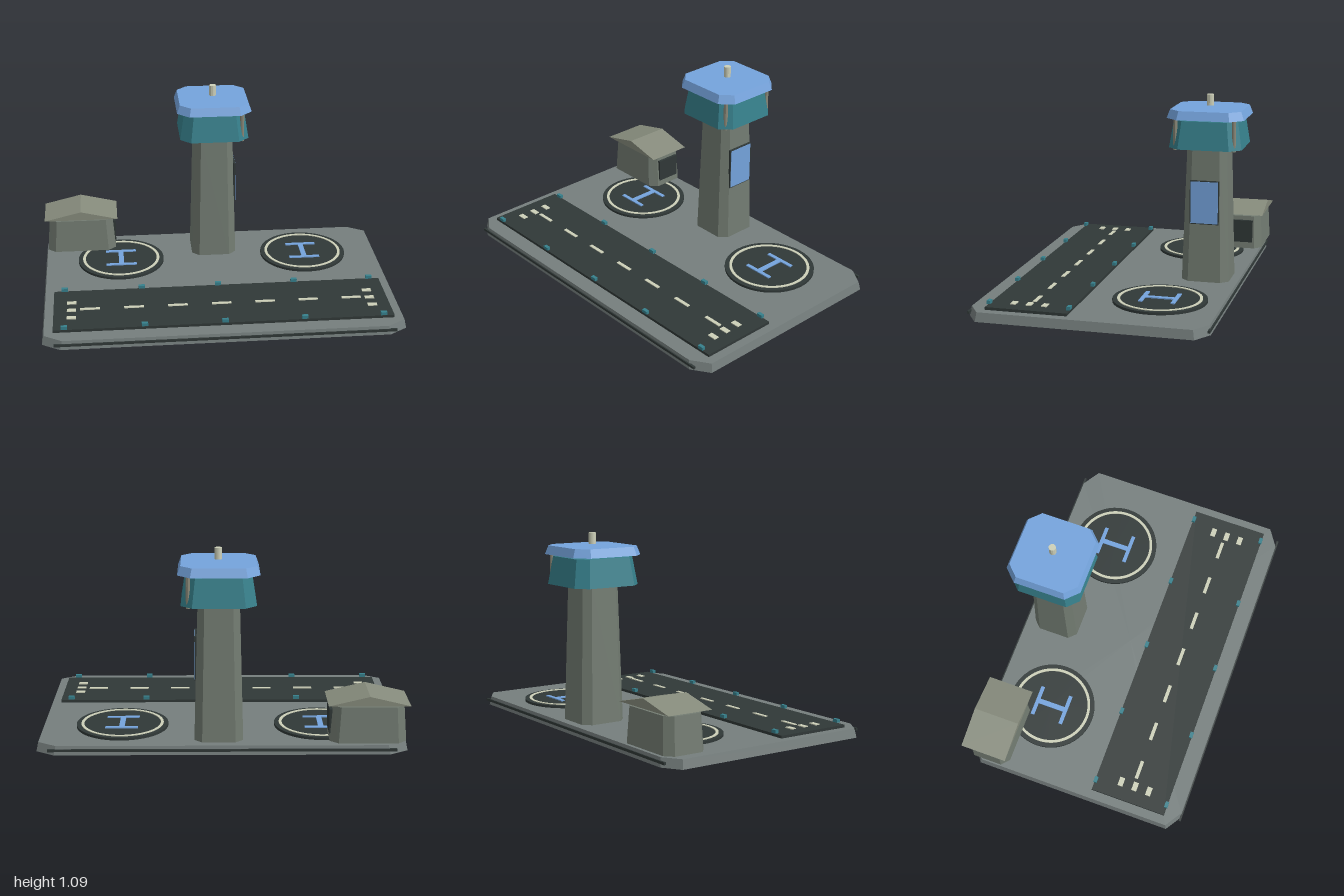
import * as THREE from 'three';

const mat = (color, flat = true) => new THREE.MeshStandardMaterial({ color, flatShading: flat });
const M = {
  slab: mat(0x757e7d), asphalt: mat(0x303837), cream: mat(0xcccfb8), blue: mat(0x74a3dc),
  teal: mat(0x36808c), wall: mat(0x737c72), post: mat(0x8a8878), roof: mat(0x868b7c),
};

function add(parent, name, geo, material, x = 0, y = 0, z = 0) {
  const mesh = new THREE.Mesh(geo, material);
  mesh.name = name;
  mesh.position.set(x, y, z);
  parent.add(mesh);
  return mesh;
}

function box(parent, name, material, w, h, d, x, y, z) {
  return add(parent, name, new THREE.BoxGeometry(w, h, d), material, x, y, z);
}

// Rectangle with cut corners, lofted through levels of [y, halfX, halfZ, cutX, cutZ]
function loft(levels) {
  const rings = levels.map(([y, hx, hz, cx, cz]) => [
    [hx, hz - cz], [hx - cx, hz], [cx - hx, hz], [-hx, hz - cz],
    [-hx, cz - hz], [cx - hx, -hz], [hx - cx, -hz], [hx, cz - hz],
  ].map(([x, z]) => new THREE.Vector3(x, y, z)));
  const pts = [];
  const bottom = rings[0], top = rings[rings.length - 1];
  for (let i = 0; i < 8; i++) {
    const j = (i + 1) % 8;
    for (let k = 0; k + 1 < rings.length; k++) {
      const lo = rings[k], hi = rings[k + 1];
      pts.push(lo[i], hi[j], lo[j], lo[i], hi[i], hi[j]);
    }
    pts.push(new THREE.Vector3(0, bottom[0].y, 0), bottom[i], bottom[j]);
    pts.push(new THREE.Vector3(0, top[0].y, 0), top[j], top[i]);
  }
  const geo = new THREE.BufferGeometry().setFromPoints(pts);
  geo.computeVertexNormals();
  return geo;
}

function group(parent, name, x = 0, y = 0, z = 0) {
  const g = new THREE.Group();
  g.name = name;
  g.position.set(x, y, z);
  parent.add(g);
  return g;
}

function buildBase(root) {
  const g = group(root, 'base', 0, 0, 0.01);
  add(g, 'slab', loft([[0, 1, 0.645, 0.1, 0.065], [0.05, 0.99, 0.637, 0.1, 0.065]]), M.slab);
  for (const s of [1, -1]) box(g, 'edgeStrip', M.asphalt, 1.87, 0.014, 0.012, 0, 0.026, s * 0.641);
}

function buildRunway(root) {
  const g = group(root, 'runway', 0, 0, 0.333);
  box(g, 'runwaySurface', M.asphalt, 1.88, 0.015, 0.445, 0, 0.0575, 0);
  // Centre line
  for (let i = -3; i <= 3; i++) box(g, 'centreDash', M.cream, 0.11, 0.005, 0.02, i * 0.246, 0.067, 0);
  for (const s of [-1, 1]) {
    // Threshold marks at each end
    for (let i = -1; i <= 1; i++) box(g, 'thresholdMark', M.cream, 0.052, 0.005, 0.03, s * 0.84, 0.068, 0.01 + i * 0.085);
    // Edge lights along each side
    for (let i = -2; i <= 2; i++) box(g, 'runwayLight', M.teal, 0.035, 0.018, 0.02, i * 0.44, 0.078, s * 0.218);
  }
}

function buildHelipad(root, x) {
  const g = group(root, 'helipad', x, 0, -0.29);
  add(g, 'padDisc', new THREE.CylinderGeometry(0.255, 0.255, 0.014, 48), mat(0x303837, false), 0, 0.057, 0);
  const ring = new THREE.Shape().absarc(0, 0, 0.229, 0, Math.PI * 2);
  ring.holes.push(new THREE.Path().absarc(0, 0, 0.213, 0, Math.PI * 2));
  const ringGeo = new THREE.ExtrudeGeometry(ring, { depth: 0.005, bevelEnabled: false, curveSegments: 48 });
  add(g, 'padRing', ringGeo.rotateX(-Math.PI / 2), M.cream, 0, 0.063, 0);
  // Landing mark
  box(g, 'markStem', M.blue, 0.03, 0.006, 0.154, 0, 0.067, 0);
  for (const s of [-1, 1]) box(g, 'markBar', M.blue, 0.18, 0.006, 0.022, 0, 0.067, s * 0.088);
}

function buildTower(root) {
  const g = group(root, 'controlTower', 0.018, 0, -0.444);
  add(g, 'shaft', loft([[0.05, 0.132, 0.134, 0.042, 0.042], [0.81, 0.112, 0.112, 0.036, 0.036]]), M.wall);
  add(g, 'cab', loft([[0.808, 0.2, 0.202, 0.06, 0.06], [0.962, 0.176, 0.178, 0.053, 0.053]]), M.teal);
  add(g, 'cabRoof', loft([[0.972, 0.217, 0.214, 0.068, 0.068], [1.02, 0.2, 0.197, 0.06, 0.06]]), M.blue);
  add(g, 'antenna', new THREE.CylinderGeometry(0.02, 0.02, 0.062, 12), M.cream, 0.002, 1.06, 0);
  // Corner posts on one side of the cab
  for (const s of [-1, 1]) {
    add(g, 'cornerPost', new THREE.CylinderGeometry(0.012, 0.012, 0.172, 8), M.post, 0.16, 0.886, s * 0.162);
  }
  // Wall panel with dark backing
  box(g, 'panelFrame', M.asphalt, 0.012, 0.246, 0.164, 0.124, 0.503, 0.003);
  box(g, 'wallPanel', M.blue, 0.012, 0.236, 0.154, 0.126, 0.503, 0.003);
}

function buildHut(root) {
  const g = group(root, 'hut', -0.78, 0, -0.523);
  add(g, 'hutWalls', loft([[0.068, 0.205, 0.124, 0.045, 0.04], [0.265, 0.19, 0.115, 0.042, 0.037]]), M.wall);
  const gable = new THREE.Shape([[-0.218, 0.278], [0.218, 0.278], [0, 0.33]].map(p => new THREE.Vector2(...p)));
  const roofGeo = new THREE.ExtrudeGeometry(gable, { depth: 0.266, bevelEnabled: false });
  add(g, 'hutRoof', roofGeo.translate(0, 0, -0.133), M.roof);
  box(g, 'hutDoor', M.asphalt, 0.016, 0.135, 0.144, 0.2, 0.173, 0);
}

export function createModel() {
  const root = new THREE.Group();
  root.name = 'airfield';
  buildBase(root);
  buildRunway(root);
  for (const x of [-0.547, 0.553]) buildHelipad(root, x);
  buildTower(root);
  buildHut(root);
  return root;
}
